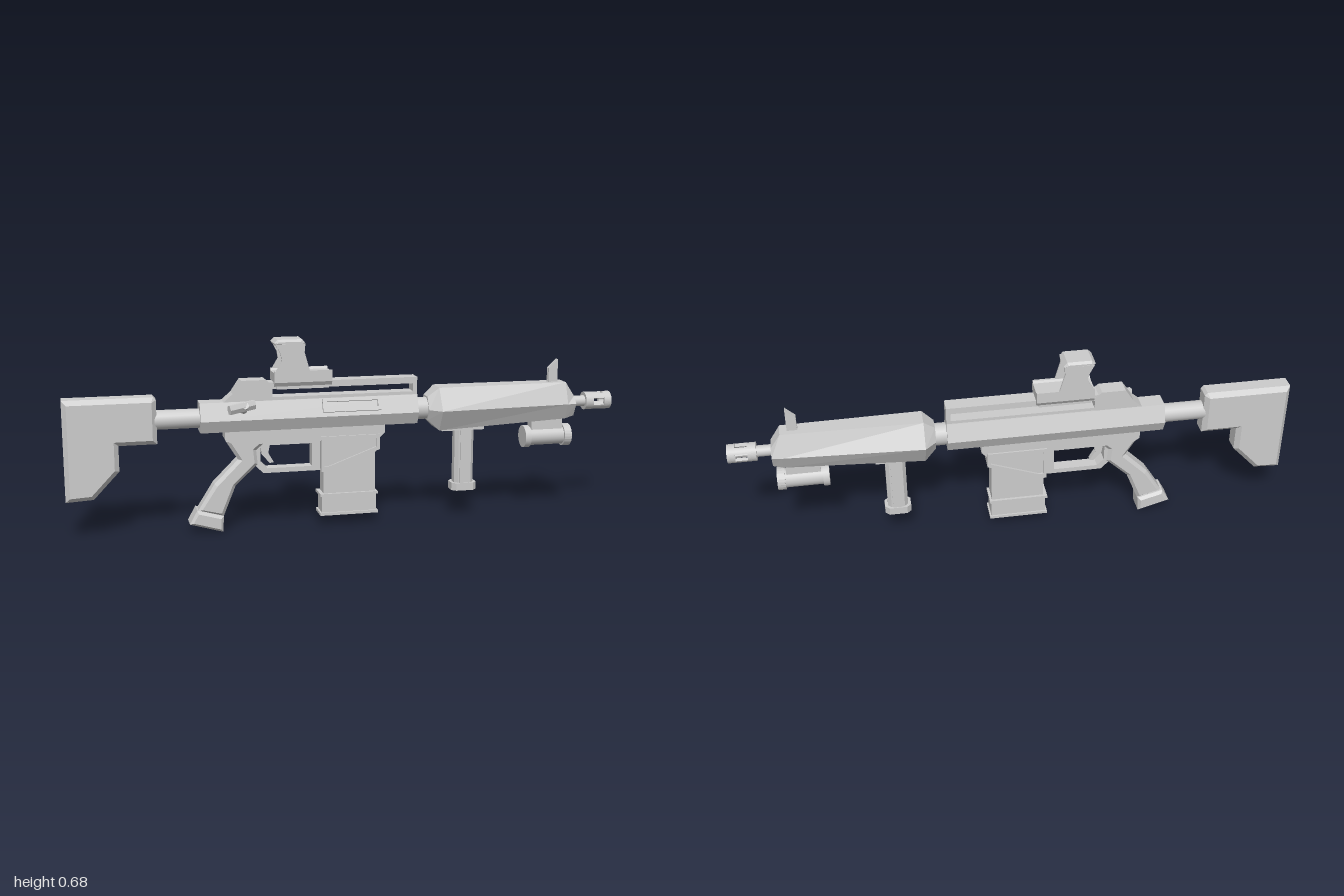
import * as THREE from 'three';

const mat = new THREE.MeshStandardMaterial({ color: 0xcccccc, flatShading: true });
const smooth = new THREE.MeshStandardMaterial({ color: 0xcccccc });
const AXIS_Y = 0.41; // height of the bore

export function createModel() {
  const root = new THREE.Group();
  root.name = 'rifle';
  const body = new THREE.Group();
  body.name = 'rifleBody';
  body.position.z = -0.005;
  root.add(body);

  const add = (name, geo, x = 0, y = 0, z = 0, material = mat) => {
    const mesh = new THREE.Mesh(geo, material);
    mesh.name = name;
    mesh.position.set(x, y, z);
    body.add(mesh);
    return mesh;
  };

  // Side outline in x,y extruded symmetrically across z, with chamfered edges
  const plate = (name, pts, half, bevel = 0, holes = [], z = 0) => {
    const toVec = (list) => list.map(([x, y]) => new THREE.Vector2(x, y));
    const shape = new THREE.Shape(toVec(pts));
    holes.forEach((h) => shape.holes.push(new THREE.Path(toVec(h))));
    const geo = new THREE.ExtrudeGeometry(shape, {
      depth: 2 * (half - bevel), bevelEnabled: bevel > 0, bevelThickness: bevel,
      bevelSize: bevel, bevelOffset: -bevel, bevelSegments: 1,
    });
    geo.translate(0, 0, -(half - bevel));
    return add(name, geo, 0, 0, z);
  };

  const rect = (x0, x1, y0, y1) => [[x0, y0], [x1, y0], [x1, y1], [x0, y1]];
  const box = (name, x0, x1, y0, y1, half, z = 0) =>
    add(name, new THREE.BoxGeometry(x1 - x0, y1 - y0, 2 * half), (x0 + x1) / 2, (y0 + y1) / 2, z);

  // Cylinder along x
  const rod = (name, x0, x1, r, y = AXIS_Y, sides = 24) =>
    add(name, new THREE.CylinderGeometry(r, r, x1 - x0, sides).rotateZ(-Math.PI / 2), (x0 + x1) / 2, y, 0, smooth);

  // Six-sided hull along x; section = [x, top, topHalf, mid, midHalf, bottom, bottomHalf]
  const hexHull = (name, sections) => {
    const rings = sections.map(([x, t, th, m, mh, b, bh]) => [
      [x, t, th], [x, m, mh], [x, b, bh], [x, b, -bh], [x, m, -mh], [x, t, -th]]);
    const pos = [];
    const tri = (...p) => p.forEach((v) => pos.push(...v));
    for (let s = 0; s < rings.length - 1; s++) {
      for (let i = 0; i < 6; i++) {
        const j = (i + 1) % 6, A = rings[s], B = rings[s + 1];
        tri(A[i], A[j], B[i]);
        tri(A[j], B[j], B[i]);
      }
    }
    const first = rings[0], last = rings[rings.length - 1];
    for (let i = 1; i < 5; i++) {
      tri(first[0], first[i + 1], first[i]);
      tri(last[0], last[i], last[i + 1]);
    }
    const geo = new THREE.BufferGeometry();
    geo.setAttribute('position', new THREE.Float32BufferAttribute(pos, 3));
    geo.computeVertexNormals();
    return add(name, geo);
  };

  // Stock and its tube
  plate('stock', [[-1, 0.14], [-0.905, 0.145], [-0.815, 0.24], [-0.815, 0.33], [-0.683, 0.33],
    [-0.683, 0.485], [-0.693, 0.495], [-1, 0.495]], 0.042, 0.016);
  rod('stockTube', -0.7, -0.53, 0.034);

  // Upper receiver, neck and handguard
  hexHull('upperReceiver', [[-0.535, 0.467, 0.032, 0.405, 0.056, 0.362, 0.036],
    [0.245, 0.467, 0.032, 0.405, 0.056, 0.362, 0.036]]);
  rod('neck', 0.24, 0.3, 0.04);
  hexHull('handguard', [
    [0.285, 0.455, 0.025, AXIS_Y, 0.05, 0.37, 0.03],
    [0.325, 0.488, 0.038, AXIS_Y, 0.088, 0.333, 0.046],
    [0.815, 0.488, 0.03, AXIS_Y, 0.06, 0.352, 0.032],
    [0.85, 0.435, 0.028, AXIS_Y, 0.054, 0.362, 0.03]]);

  // Top rail: a bridge with a long opening, and the rear hump
  plate('topRail', rect(-0.31, 0.245, 0.46, 0.53), 0.028, 0, [rect(-0.29, 0.23, 0.478, 0.507)]);
  plate('rearHump', [[-0.46, 0.46], [-0.28, 0.46], [-0.28, 0.52], [-0.305, 0.54], [-0.39, 0.54], [-0.42, 0.495]], 0.03);

  // Ejection port frame on the sloped left side
  const port = plate('ejectionPortFrame', rect(-0.105, 0.105, -0.024, 0.024), 0.008, 0,
    [rect(-0.09, 0.095, -0.011, 0.013)]);
  port.position.set(0, 0.442, 0.044);
  port.rotation.x = -0.37;

  // Charging handle
  const handle = add('chargingHandle', new THREE.CylinderGeometry(0.018, 0.018, 0.1, 6).scale(1, 1, 0.7),
    -0.395, 0.456, 0.077);
  handle.rotation.set(0, 0.38, Math.PI / 2 + 0.1);
  const post = add('chargingHandlePost', new THREE.CylinderGeometry(0.014, 0.014, 0.07, 8), -0.385, 0.445, 0.052);
  post.rotation.x = 1.05;

  // Lower receiver, trigger guard and trigger
  plate('lowerReceiver', [[-0.45, 0.37], [-0.45, 0.335], [-0.42, 0.315], [0.105, 0.315], [0.125, 0.335], [0.125, 0.37]], 0.036);
  plate('triggerGuard', [[-0.345, 0.33], [-0.345, 0.235], [-0.315, 0.205], [-0.1, 0.205], [-0.1, 0.33]], 0.022, 0,
    [[[-0.325, 0.305], [-0.325, 0.245], [-0.3, 0.222], [-0.14, 0.222], [-0.14, 0.305]]]);
  plate('trigger', [[-0.325, 0.32], [-0.285, 0.32], [-0.295, 0.275], [-0.275, 0.24], [-0.29, 0.238], [-0.318, 0.27]], 0.01);

  // Magazine well with a recessed side panel
  const well = [[-0.11, 0.33], [-0.11, 0.203], [-0.085, 0.203], [0.105, 0.275], [0.105, 0.33]];
  plate('magazineWellCore', well, 0.035);
  plate('magazineWellFrame', well, 0.042, 0,
    [[[-0.098, 0.317], [-0.098, 0.222], [-0.08, 0.222], [0.092, 0.285], [0.092, 0.317]]]);

  // Magazine with ribs
  box('magazine', -0.1, 0.09, 0.04, 0.32, 0.032);
  box('magazineBase', -0.107, 0.093, 0.048, 0.115, 0.036);
  [0.045, 0.115].forEach((y) => box('magazineRib', -0.114, 0.098, y - 0.005, y + 0.005, 0.042));

  // Pistol grip and its foot
  plate('pistolGrip', [[-0.44, 0.35], [-0.445, 0.325], [-0.405, 0.26], [-0.49, 0.175], [-0.55, 0.08], [-0.46, 0.055],
    [-0.415, 0.165], [-0.335, 0.24], [-0.34, 0.29], [-0.3, 0.325], [-0.3, 0.35]], 0.034, 0.012);
  plate('gripFoot', [[-0.553, 0.086], [-0.58, 0.037], [-0.463, 0.003], [-0.46, 0.06]], 0.044, 0.01);

  // Foregrip: octagonal column, flutes and foot
  const octagon = (name, cx, hx, hz, y0, y1, cut) => {
    const shape = new THREE.Shape([[hx, hz - cut], [hx - cut, hz], [cut - hx, hz], [-hx, hz - cut],
      [-hx, cut - hz], [cut - hx, -hz], [hx - cut, -hz], [hx, cut - hz]].map(([a, b]) => new THREE.Vector2(a, b)));
    const geo = new THREE.ExtrudeGeometry(shape, { depth: y1 - y0, bevelEnabled: false }).rotateX(-Math.PI / 2);
    return add(name, geo, cx, y0, 0);
  };
  octagon('foregrip', 0.43, 0.036, 0.026, 0.12, 0.345, 0.012);
  octagon('foregripFoot', 0.43, 0.047, 0.034, 0.1, 0.128, 0.015);
  for (const side of [-1, 1]) box('foregripRidge', 0.412, 0.448, 0.128, 0.34, 0.003, side * 0.027);
  box('foregripMount', 0.34, 0.5, 0.326, 0.35, 0.03);

  // Under-barrel lamp
  const lampY = 0.285;
  rod('lampBody', 0.68, 0.83, 0.034, lampY);
  rod('lampRearCap', 0.662, 0.684, 0.041, lampY);
  const lens = [[0, 0.005], [0.029, 0.005], [0.029, 0.028], [0.041, 0.028], [0.041, 0], [0, 0]]
    .reverse().map(([r, y]) => new THREE.Vector2(r, y));
  add('lampHead', new THREE.LatheGeometry(lens, 24).rotateZ(-Math.PI / 2), 0.815, lampY, 0);
  box('lampMount', 0.69, 0.81, 0.305, 0.365, 0.02);

  // Front sight: two ears on a foot
  for (const side of [-1, 1]) {
    plate('frontSightEar', [[0.755, 0.48], [0.755, 0.54], [0.79, 0.572], [0.79, 0.48]], 0.003, 0, [], side * 0.006);
  }
  plate('frontSightFoot', [[0.752, 0.48], [0.757, 0.53], [0.785, 0.542], [0.792, 0.48]], 0.005);

  // Barrel and slotted muzzle
  rod('barrel', 0.84, 0.912, 0.02);
  const arcBand = (name, x0, x1, a0, a1) => {
    const shape = new THREE.Shape();
    const full = a1 - a0 > 6;
    shape.absarc(0, 0, 0.033, a0, a1, false);
    if (full) shape.holes.push(new THREE.Path().absarc(0, 0, 0.021, 0, Math.PI * 2, true));
    else shape.absarc(0, 0, 0.021, a1, a0, true);
    const geo = new THREE.ExtrudeGeometry(shape, { depth: x1 - x0, bevelEnabled: false, curveSegments: full ? 24 : 5 });
    add(name, geo.rotateY(Math.PI / 2), x0, AXIS_Y, 0);
  };
  arcBand('muzzleRearRing', 0.9, 0.93, 0, Math.PI * 2);
  arcBand('muzzleFrontRing', 0.972, 1, 0, Math.PI * 2);
  for (let i = 0; i < 4; i++) {
    const mid = Math.PI / 4 + i * Math.PI / 2;
    arcBand('muzzleBar', 0.93, 0.972, mid - 0.38, mid + 0.38);
  }

  // Reflex sight: clamp, base and open hood
  box('sightClamp', -0.265, -0.08, 0.505, 0.535, 0.034);
  const baseShape = new THREE.Shape([[-0.037, 0.516], [0.037, 0.516], [0.046, 0.53], [0.046, 0.57], [0.037, 0.57],
    [0.032, 0.563], [-0.032, 0.563], [-0.037, 0.57], [-0.046, 0.57], [-0.046, 0.53]].map(([a, b]) => new THREE.Vector2(a, b)));
  add('sightBase', new THREE.ExtrudeGeometry(baseShape, { depth: 0.205, bevelEnabled: false }).rotateY(Math.PI / 2), -0.275, 0, 0);
  for (const side of [-1, 1]) {
    plate('sightHoodSide', [[-0.275, 0.56], [-0.248, 0.605], [-0.252, 0.63], [-0.27, 0.665], [-0.165, 0.665],
      [-0.168, 0.635], [-0.147, 0.56]], 0.004, 0, [], side * 0.042);
  }
  plate('sightHoodTop', [[-0.27, 0.66], [-0.275, 0.668], [-0.262, 0.68], [-0.175, 0.68], [-0.163, 0.665], [-0.166, 0.66]], 0.046, 0.008);

  return root;
}
